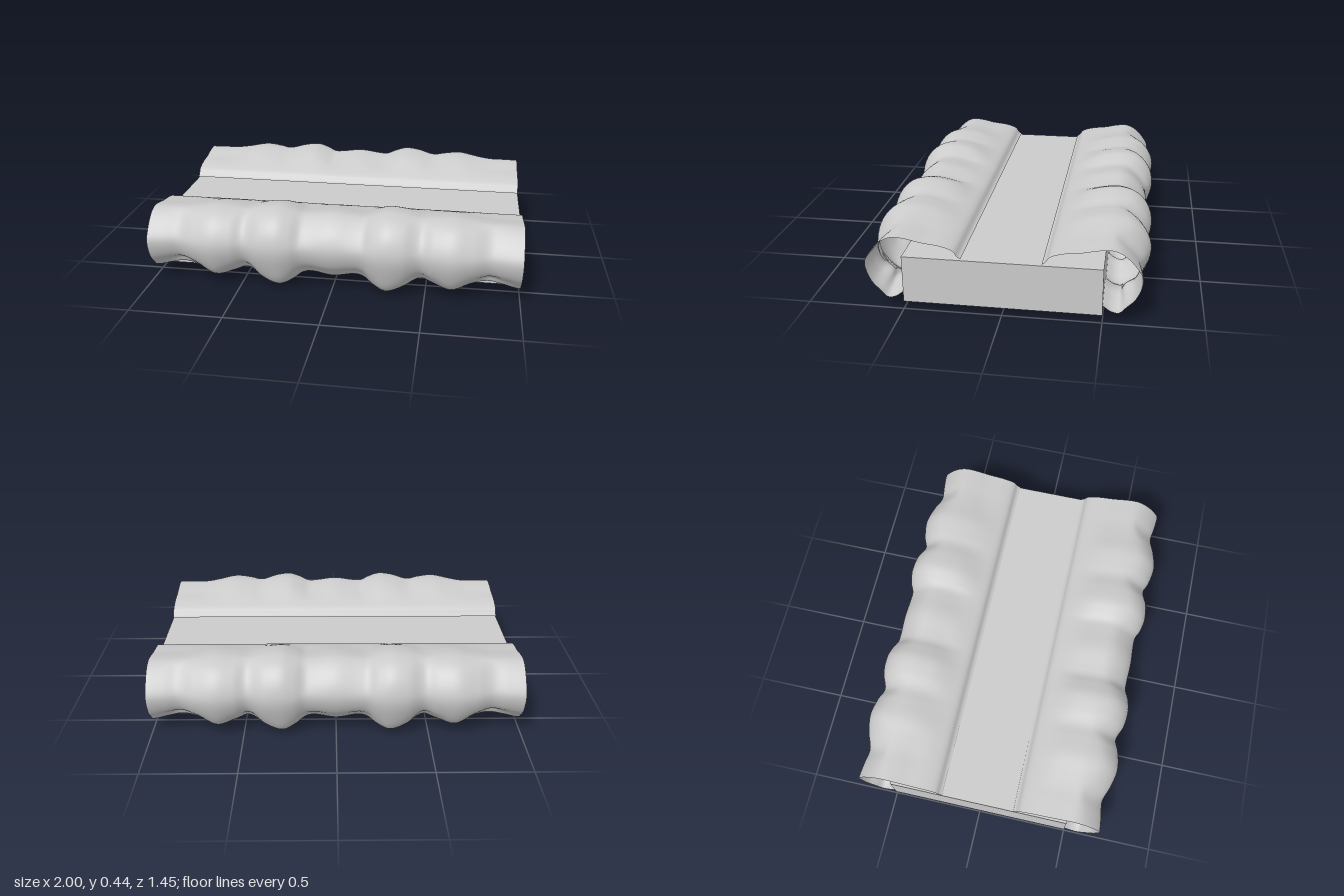
import * as THREE from 'three';

// Half-length stations [x, crest height, outer reach, underside height], mirrored across x = 0
const stations = [
  [0, 0.42, 0.692, 0.07], [0.12, 0.407, 0.687, 0.088], [0.17, 0.405, 0.69, 0.075],
  [0.22, 0.422, 0.712, 0.035], [0.29, 0.44, 0.726, 0.004], [0.38, 0.432, 0.718, 0.035],
  [0.47, 0.414, 0.686, 0.09], [0.54, 0.42, 0.71, 0.068], [0.64, 0.426, 0.726, 0.037],
  [0.74, 0.412, 0.705, 0.078], [0.83, 0.402, 0.673, 0.1], [0.91, 0.4, 0.682, 0.085], [1, 0.398, 0.69, 0.065],
];

// Smooth interpolation of one station column at |x|
function sample(x, column) {
  const a = Math.abs(x);
  let i = 0;
  while (i < stations.length - 2 && a > stations[i + 1][0]) i++;
  const at = (k) => stations[Math.min(Math.abs(k), stations.length - 1)];
  const pos = (k) => (k < 0 ? -at(k)[0] : at(k)[0]);
  const slope = (k) => (k >= stations.length - 1 ? 0
    : (at(k + 1)[column] - at(k - 1)[column]) / (pos(k + 1) - pos(k - 1)));
  const h = pos(i + 1) - pos(i);
  const t = (a - pos(i)) / h;
  const t2 = t * t, t3 = t2 * t;
  return (2 * t3 - 3 * t2 + 1) * at(i)[column] + (t3 - 2 * t2 + t) * h * slope(i)
    + (3 * t2 - 2 * t3) * at(i + 1)[column] + (t3 - t2) * h * slope(i + 1);
}

// Curled cross-section at x, running from the inner lip over the crest to the lower edge
function section(x) {
  const top = sample(x, 1), out = sample(x, 2), low = sample(x, 3);
  const p = (z, y) => new THREE.Vector3(x, y, z);
  return new THREE.CatmullRomCurve3([
    p(0.2, 0.303), p(0.215, 0.312), p(0.238, 0.342), p(0.3, 0.365 + (top - 0.4) * 0.2),
    p(0.4, top - 0.02), p(0.47, top - 0.005), p(0.54, top), p(out - 0.095, top - 0.022),
    p(out - 0.028, top - 0.09), p(out, 0.25), p(out - 0.028, 0.13 + low * 0.35),
    p(out - 0.075, low + 0.034), p(0.58, low), p(0.54, low + 0.006), p(0.5, low + 0.035),
  ]);
}

// Wavy sheet made by bending a flat grid along the sections
function rolledSheet() {
  const cols = 160, rows = 56;
  const geometry = new THREE.PlaneGeometry(2, 1, cols, rows);
  const pos = geometry.attributes.position;
  const point = new THREE.Vector3();
  for (let c = 0; c <= cols; c++) {
    const curve = section(-1 + (2 * c) / cols);
    for (let r = 0; r <= rows; r++) {
      curve.getPoint(r / rows, point);
      pos.setXYZ(r * (cols + 1) + c, point.x, point.y, point.z);
    }
  }
  geometry.computeVertexNormals();
  return geometry;
}

export function createModel() {
  const model = new THREE.Group();
  model.name = 'slabWithRolledSides';

  // Solid slab
  const slab = new THREE.Mesh(
    new THREE.BoxGeometry(2, 0.25, 1),
    new THREE.MeshStandardMaterial({ color: 0xcccccc }),
  );
  slab.name = 'slab';
  slab.position.y = 0.17;
  model.add(slab);

  // Rolled sheets along both long sides
  const sheetGeometry = rolledSheet();
  const sheetMaterial = new THREE.MeshStandardMaterial({ color: 0xcccccc, side: THREE.DoubleSide });
  for (const [name, turn] of [['frontRoll', 0], ['backRoll', Math.PI]]) {
    const roll = new THREE.Mesh(sheetGeometry, sheetMaterial);
    roll.name = name;
    roll.rotation.y = turn;
    model.add(roll);
  }
  return model;
}
